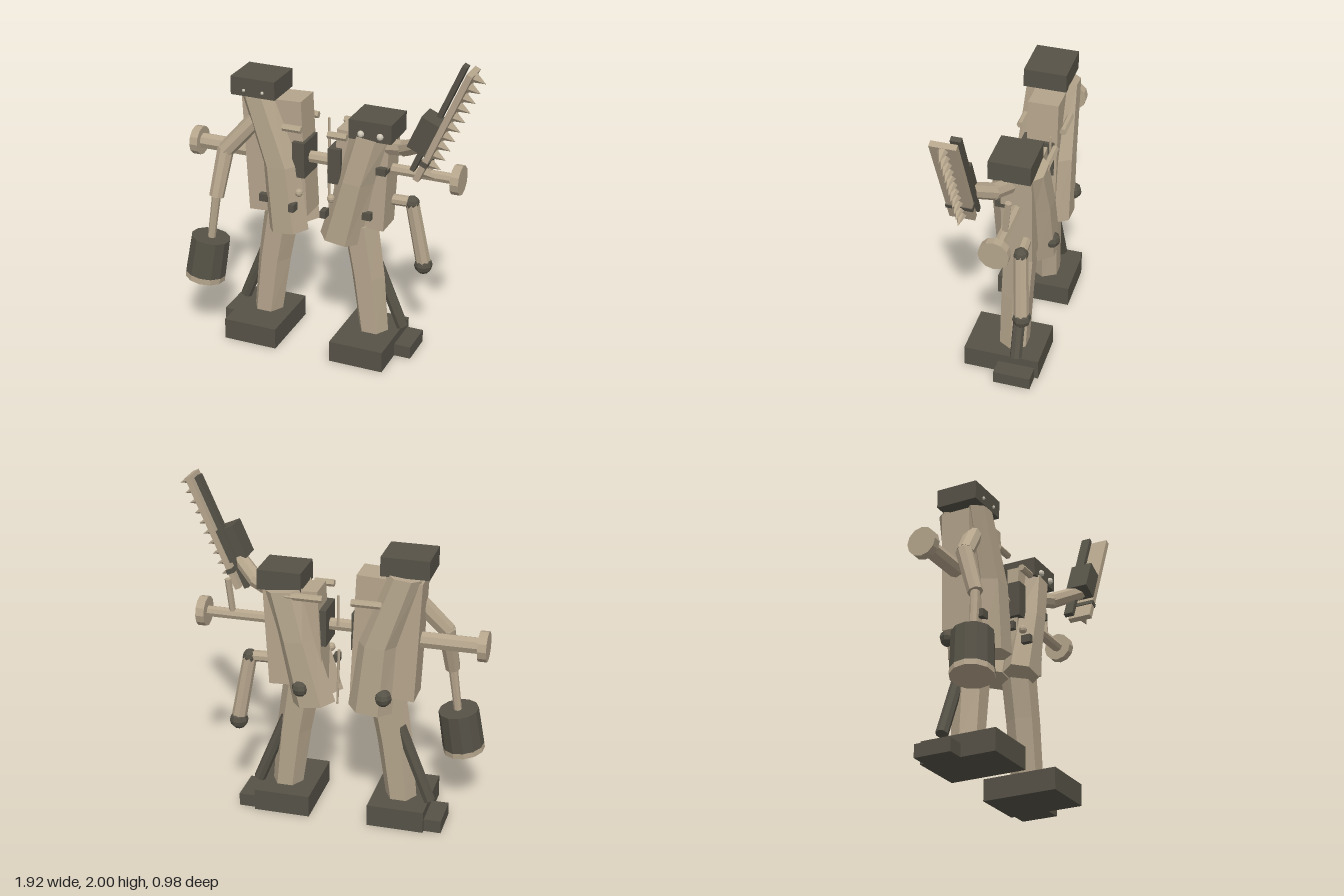
import * as THREE from 'three';

const material = (name, color) => {
  const m = new THREE.MeshStandardMaterial({ color });
  m.name = name;
  return m;
};
const tan = material('weathered tan', 0xb5a58c);
const dark = material('dark iron', 0x565247);
const pale = material('pale eye', 0xcfc8b8);

// Faceted mesh from any geometry
function part(name, geo, mat, parent, pos = [0, 0, 0]) {
  const g = geo.index ? geo.toNonIndexed() : geo;
  g.computeVertexNormals();
  const m = new THREE.Mesh(g, mat);
  m.name = name;
  m.position.set(...pos);
  parent.add(m);
  return m;
}

const box = (name, size, pos, mat, parent) =>
  part(name, new THREE.BoxGeometry(...size), mat, parent, pos);

const ball = (name, r, pos, mat, parent) =>
  part(name, new THREE.SphereGeometry(r, 8, 6), mat, parent, pos);

// Straight cylinder between two points
function limb(name, a, b, ra, rb, mat, parent, sides = 8) {
  const A = new THREE.Vector3(...a), B = new THREE.Vector3(...b);
  const d = B.clone().sub(A);
  const m = part(name, new THREE.CylinderGeometry(rb, ra, d.length(), sides), mat, parent);
  m.position.copy(A).addScaledVector(d, 0.5);
  m.quaternion.setFromUnitVectors(new THREE.Vector3(0, 1, 0), d.normalize());
  return m;
}

// Six-sided column through stations [x, y, z, rx, rz, sideways slope], top to bottom
function column(name, st, mat, parent) {
  const n = st.length - 1;
  const g = new THREE.CylinderGeometry(1, 1, 1, 6, n, false, Math.PI / 6);
  const p = g.attributes.position;
  for (let i = 0; i < p.count; i++) {
    const [x, y, z, rx, rz, slope] = st[Math.round((0.5 - p.getY(i)) * n)];
    const dx = p.getX(i) * rx;
    p.setXYZ(i, x + dx, y + dx * slope, z + p.getZ(i) * rz);
  }
  return part(name, g, mat, parent);
}

// One figure: s is its outward side, the rest are its own measurements
function figure(name, o, parent) {
  const { s } = o, f = new THREE.Group();
  f.name = name;
  parent.add(f);

  // Foot, side heel, strut and leg
  box('foot', [0.345, 0.135, 0.47], [o.foot, 0.0675, -0.079], dark, f);
  box('heel', [0.14, 0.08, 0.23], [o.foot + s * 0.207, 0.04, -0.175], dark, f);
  limb('strut', [o.foot + s * 0.18, 0.15, -0.175], [o.foot - s * 0.01, 0.62, -0.165], 0.037, 0.037, dark, f);
  column('leg', [
    [o.hip, 0.85, -0.13, 0.118, 0.105, 0],
    [(o.hip + o.ankle) / 2 + s * 0.008, 0.5, -0.125, 0.108, 0.1, 0],
    [o.ankle, 0.13, -0.12, 0.095, 0.095, 0]], tan, f);

  // Torso slab with a bent column on the front and on the back
  const [w, h, x, y] = o.slab;
  box('torsoSlab', [w, h, 0.185], [x, y, -0.153], tan, f).rotation.z = -s * 0.05;
  for (const [side, v] of [['frontTorso', -0.055], ['backTorso', -0.235]])
    column(side, o.torso.map(([cx, cy, rx, rz, k]) => [cx, cy, v, rx, rz, k]), tan, f);

  // Head and eyes
  const [hx, hy, hw, hh, hd] = o.head;
  box('head', [hw, hh, hd], [hx, hy, -0.124], dark, f);
  for (const e of [-1, 1])
    ball('eye', o.eye, [hx + 0.005 + e * 0.06, hy - 0.02, -0.12 + hd / 2], pale, f);

  // Small fittings on the torso
  box('outerLatch', [0.058, 0.048, 0.05], [o.latch[0], 0.932, -0.05], dark, f);
  box('innerLatch', [0.035, 0.048, 0.06], [o.latch[1], 0.932, 0.02], dark, f);
  ball('rearKnob', 0.052, [o.knob, 0.86, -0.305], dark, f);
  ball('sideKnob', 0.026, [o.side, 1.015, -0.02], tan, f);
  for (const [v, len] of [[-0.02, 0.1], [-0.28, 0.2]])
    limb('peg', [o.side - s * 0.02, 1.425, v], [o.side + s * len, 1.425, v], 0.022, 0.022, tan, f, 6);

  // Axle end with disc, and inner buffer plate
  limb('axle', [o.side, o.axleY, -0.15], [o.disc, o.axleY, -0.15], o.axleR, o.axleR, tan, f);
  limb('axleDisc', [o.disc - 0.026, o.axleY, -0.15], [o.disc + 0.026, o.axleY, -0.15], 0.09, 0.09, tan, f, 12);
  box('bufferPlate', [0.08, 0.225, 0.2], [o.plate, 1.22, -0.13], dark, f);
}

export function createModel() {
  const model = new THREE.Group();
  model.name = 'coupledFigures';
  const pair = new THREE.Group();
  pair.name = 'figurePair';
  pair.rotation.y = THREE.MathUtils.degToRad(20);
  model.add(pair);

  figure('rightFigure', {
    s: -1, foot: -0.453, ankle: -0.447, hip: -0.345, slab: [0.385, 0.74, -0.365, 1.205],
    torso: [[-0.47, 1.595, 0.1, 0.07, 0.12], [-0.318, 1.17, 0.118, 0.095, 0.06], [-0.275, 0.745, 0.132, 0.1, 0.11]],
    head: [-0.473, 1.652, 0.285, 0.115, 0.26], eye: 0.01,
    latch: [-0.43, -0.213], knob: -0.37, side: -0.19,
    axleY: 1.187, axleR: 0.05, disc: -0.92, plate: -0.198,
  }, pair);

  figure('leftFigure', {
    s: 1, foot: 0.255, ankle: 0.268, hip: 0.165, slab: [0.33, 0.6, 0.19, 1.145],
    torso: [[0.248, 1.445, 0.115, 0.07, -0.12], [0.168, 1.15, 0.112, 0.095, -0.06], [0.066, 0.745, 0.13, 0.1, -0.14]],
    head: [0.271, 1.495, 0.265, 0.12, 0.25], eye: 0.021,
    latch: [0.243, -0.006], knob: 0.13, side: 0.02,
    axleY: 1.218, axleR: 0.034, disc: 0.768, plate: 0.034,
  }, pair);

  // Coupling between the figures
  limb('coupling', [-0.24, 1.215, -0.13], [0.08, 1.215, -0.13], 0.038, 0.038, tan, pair);
  limb('upperNeedle', [-0.08, 1.25, -0.23], [-0.08, 1.44, -0.23], 0.009, 0.007, tan, pair, 6);
  limb('lowerNeedle', [-0.075, 0.75, -0.23], [-0.085, 1.1, -0.23], 0.007, 0.009, tan, pair, 6);
  box('axleCollar', [0.06, 0.045, 0.08], [0.33, 1.238, -0.065], dark, pair);

  // Right figure's arm carrying a drum
  const drumArm = new THREE.Group();
  drumArm.name = 'drumArm';
  model.add(drumArm);
  limb('upperArm', [-0.47, 1.45, 0.08], [-0.645, 1.21, 0.21], 0.055, 0.052, tan, drumArm);
  ball('elbow', 0.05, [-0.645, 1.21, 0.21], tan, drumArm);
  limb('forearm', [-0.645, 1.22, 0.205], [-0.64, 0.93, 0.3], 0.052, 0.046, tan, drumArm);
  limb('drumRod', [-0.642, 0.93, 0.3], [-0.67, 0.65, 0.325], 0.028, 0.024, tan, drumArm);
  limb('drum', [-0.7, 0.415, 0.355], [-0.675, 0.655, 0.325], 0.127, 0.122, dark, drumArm, 12);
  limb('drumRim', [-0.704, 0.38, 0.359], [-0.7, 0.415, 0.355], 0.127, 0.127, tan, drumArm, 12);

  // Left figure's lower arm with a ball hand
  const ballArm = new THREE.Group();
  ballArm.name = 'ballArm';
  model.add(ballArm);
  limb('upperArm', [0.18, 0.99, -0.28], [0.365, 0.99, -0.36], 0.034, 0.034, tan, ballArm);
  ball('elbow', 0.045, [0.365, 0.985, -0.36], dark, ballArm);
  limb('forearm', [0.365, 0.985, -0.36], [0.423, 0.59, -0.407], 0.042, 0.046, tan, ballArm);
  ball('hand', 0.057, [0.423, 0.568, -0.41], dark, ballArm);

  // Left figure's raised arm
  const sawArm = new THREE.Group();
  sawArm.name = 'sawArm';
  model.add(sawArm);
  limb('upperArm', [0.24, 1.36, -0.22], [0.43, 1.41, -0.21], 0.05, 0.05, tan, sawArm);
  limb('forearm', [0.42, 1.405, -0.21], [0.64, 1.52, -0.14], 0.05, 0.045, tan, sawArm);
  limb('axlePost', [0.498, 1.22, -0.345], [0.505, 1.45, -0.375], 0.02, 0.02, tan, sawArm, 6);

  // Toothed blade with its housing and guide bar
  const saw = new THREE.Group();
  saw.name = 'toothedBlade';
  saw.position.set(0.753, 1.65, 0.08);
  saw.rotation.z = -0.41;
  pair.add(saw);
  box('blade', [0.036, 0.735, 0.15], [0.003, 0, 0], tan, saw);
  box('bladeBand', [0.046, 0.03, 0.158], [0.003, -0.25, 0], dark, saw);
  box('guideBar', [0.03, 0.73, 0.06], [-0.055, -0.013, -0.05], dark, saw);
  box('housing', [0.12, 0.21, 0.14], [-0.07, -0.1, 0.005], dark, saw);
  for (let i = 0; i < 11; i++) {
    const y = -0.33 + i * 0.067;
    limb('tooth', [0.02, y, 0], [0.095, y, 0], 0.03, 0, tan, saw, 6);
  }
  return model;
}
